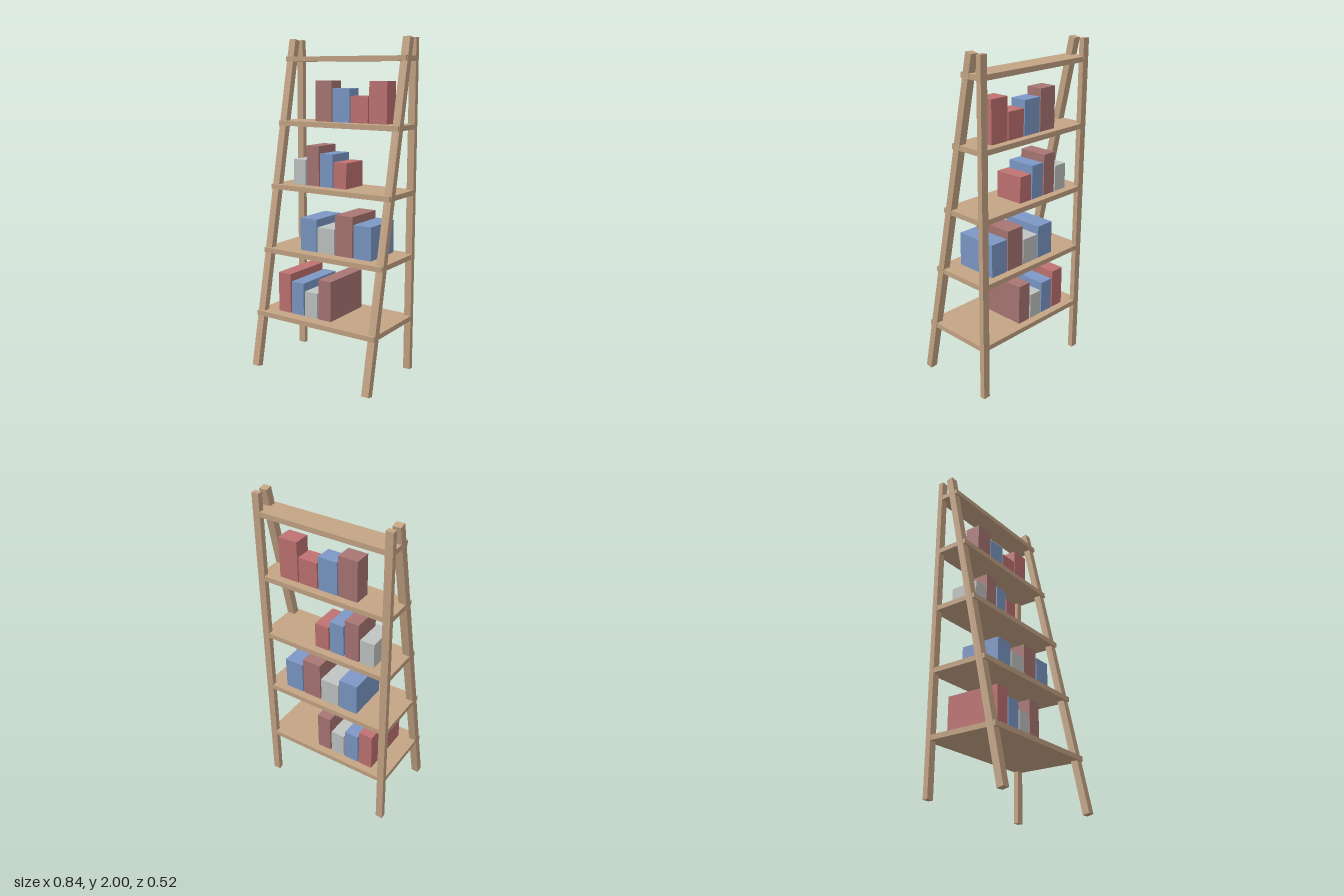
import * as THREE from 'three';

const mat = (name, color) => {
  const m = new THREE.MeshStandardMaterial({ color });
  m.name = name;
  return m;
};

export function createModel() {
  const group = new THREE.Group();
  const wood = mat('wood', 0xc4a484);
  const red = mat('red', 0xc07272);
  const blue = mat('blue', 0x7c98c6);
  const grey = mat('grey', 0xc0c4c2);
  const maroon = mat('maroon', 0xa87674);

  // Box given by its lower and upper corners
  function box(name, material, [x0, y0, z0], [x1, y1, z1]) {
    const mesh = new THREE.Mesh(new THREE.BoxGeometry(x1 - x0, y1 - y0, z1 - z0), material);
    mesh.position.set((x0 + x1) / 2, (y0 + y1) / 2, (z0 + z1) / 2);
    mesh.name = name;
    group.add(mesh);
    return mesh;
  }

  // Upright back legs and leaning front legs
  for (const [side, s] of [['left', 1], ['right', -1]]) {
    const x = s * 0.399;
    box(side + 'BackLeg', wood, [x - 0.022, 0.006, -0.26], [x + 0.022, 1.996, -0.228]);
    const leg = box(side + 'FrontLeg', wood, [x - 0.0235, -0.017, 0.0115], [x + 0.0235, 2.017, 0.0535]);
    leg.rotation.x = -0.204;
  }

  // Shelves get shallower upwards; each carries a row of books
  const tops = [0.348, 0.734, 1.121, 1.507, 1.894];
  const fronts = [0.206, 0.128, 0.047, -0.033, -0.112];
  tops.forEach((y, i) => {
    box('shelf' + (i + 1), wood, [-0.42, y - 0.03, -0.259], [0.42, y, fronts[i]]);
  });

  // Books as [colour, height]
  const rows = [
    [[red, 0.245], [blue, 0.202], [grey, 0.156], [maroon, 0.245]],
    [[blue, 0.2], [grey, 0.155], [maroon, 0.245], [blue, 0.2]],
    [[grey, 0.155], [maroon, 0.244], [blue, 0.2], [red, 0.155]],
    [[maroon, 0.244], [blue, 0.2], [red, 0.157], [red, 0.244]],
  ];
  const bookFronts = [0.13, 0.049, -0.032, -0.111];
  rows.forEach((row, r) => {
    const wide = r % 2 === 1;
    const start = wide ? -0.197 : -0.306;
    const width = wide ? 0.119 : 0.089;
    const pitch = wide ? 0.127 : 0.099;
    row.forEach(([material, h], i) => {
      const x = start + i * pitch;
      box(`book${r + 1}_${i + 1}`, material, [x, tops[r], -0.212], [x + width, tops[r] + h, bookFronts[r]]);
    });
  });

  return group;
}
